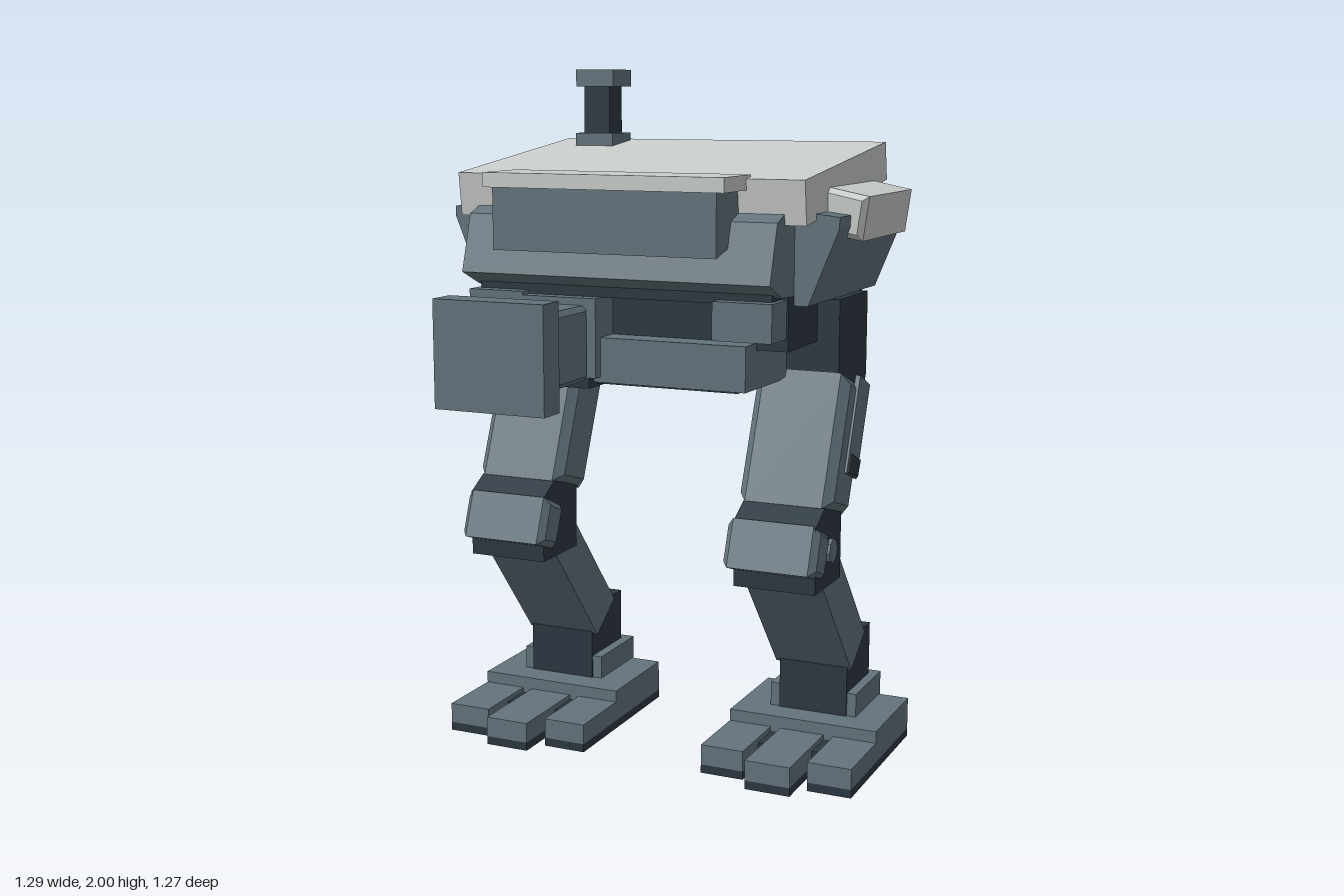
import * as THREE from 'three';

export function createModel() {
  const model = new THREE.Group();
  model.name = 'walker';
  const mat = (name, color) => Object.assign(new THREE.MeshStandardMaterial({ color }), { name });
  const light = mat('pale armour', 0xc9cecb);
  const slate = mat('slate armour', 0x64747d);
  const dark = mat('dark frame', 0x2d3841);

  const add = (parent, name, geo, material) => {
    const m = new THREE.Mesh(geo, material);
    m.name = name;
    parent.add(m);
    return m;
  };
  // Box given by its limits on each axis
  const box = (parent, name, material, x0, x1, y0, y1, z0, z1) => {
    const g = new THREE.BoxGeometry(x1 - x0, y1 - y0, z1 - z0);
    g.translate((x0 + x1) / 2, (y0 + y1) / 2, (z0 + z1) / 2);
    return add(parent, name, g, material);
  };
  const extrude = (pts, depth, bevel) => {
    const g = new THREE.ExtrudeGeometry(new THREE.Shape(pts.map(p => new THREE.Vector2(...p))), {
      depth: depth - 2 * bevel, bevelEnabled: bevel > 0, bevelSegments: 1,
      bevelSize: bevel, bevelThickness: bevel, bevelOffset: -bevel,
    });
    return g.translate(0, 0, bevel);
  };
  // Side profile of [z, y] points, extruded across x
  const across = (parent, name, material, x0, x1, pts, bevel = 0) =>
    add(parent, name, extrude(pts, x1 - x0, bevel).rotateY(-Math.PI / 2).translate(x1, 0, 0), material);
  // Front profile of [x, y] points, extruded along z
  const along = (parent, name, material, z0, z1, pts, bevel = 0) =>
    add(parent, name, extrude(pts, z1 - z0, bevel).translate(0, 0, z0), material);

  // Hull
  const hull = new THREE.Group();
  hull.name = 'hull';
  model.add(hull);
  across(hull, 'roof', light, -0.52, 0.52, [[0.25, 1.71], [-0.43, 1.79], [-0.45, 1.68], [0.235, 1.59]]);
  across(hull, 'upperHull', slate, -0.46, 0.46,
    [[0.235, 1.62], [0.29, 1.6], [0.34, 1.44], [0.25, 1.4], [-0.42, 1.38], [-0.42, 1.69]]);
  box(hull, 'lowerHull', dark, -0.46, 0.46, 1.25, 1.42, -0.42, 0.2);
  box(hull, 'chinBand', dark, -0.44, 0.44, 1.38, 1.43, 0.1, 0.27);
  across(hull, 'belly', slate, -0.37, 0.37, [[0.28, 1.27], [0.28, 1.145], [0.02, 1.14], [-0.39, 1.2], [-0.38, 1.27]]);
  across(hull, 'bellyPlate', dark, -0.34, 0.34, [[0.26, 1.145], [0.26, 1.138], [0.02, 1.132], [-0.37, 1.19], [-0.37, 1.2]]);

  // Nose with brow
  across(hull, 'nose', slate, -0.33, 0.33, [[0.2, 1.69], [0.39, 1.69], [0.39, 1.51], [0.27, 1.54]]);
  box(hull, 'brow', light, -0.355, 0.355, 1.68, 1.72, 0.215, 0.4);

  // Rear plates and engine box
  across(hull, 'rearPlate', slate, -0.415, 0.415, [[-0.41, 1.69], [-0.455, 1.68], [-0.55, 1.46], [-0.43, 1.4], [-0.4, 1.4]]);
  across(hull, 'engineBox', slate, -0.27, 0.27, [[-0.44, 1.68], [-0.605, 1.68], [-0.63, 1.65], [-0.63, 1.4], [-0.44, 1.4]]);
  for (const y of [1.47, 1.55]) box(hull, 'engineSlot', dark, -0.19, 0.19, y - 0.014, y + 0.014, -0.633, -0.629);

  // Periscope
  box(hull, 'periscopeBase', slate, -0.42, -0.295, 1.74, 1.81, -0.405, -0.28);
  box(hull, 'periscopePost', dark, -0.4, -0.315, 1.8, 1.96, -0.385, -0.3);
  box(hull, 'periscopeCap', slate, -0.42, -0.295, 1.95, 2, -0.41, -0.285);

  // Gun slung under the hull's right side
  const gun = new THREE.Group();
  gun.name = 'gun';
  model.add(gun);
  box(gun, 'gunMount', slate, -0.36, -0.06, 1.16, 1.38, 0.02, 0.31);
  box(gun, 'gunMountBase', dark, -0.34, -0.08, 1.13, 1.17, 0.02, 0.31);
  across(gun, 'gunBarrel', slate, -0.335, -0.085, [[0.3, 1.36], [0.56, 1.36], [0.56, 1.15], [0.3, 1.15]], 0.015);
  box(gun, 'gunMuzzle', slate, -0.375, -0.045, 1.105, 1.4, 0.55, 0.635);

  // Parts repeated on both sides
  for (const s of [1, -1]) {
    const side = new THREE.Group();
    side.name = s > 0 ? 'leftSide' : 'rightSide';
    model.add(side);
    const flip = pts => pts.map(([x, y]) => [s * x, y]);
    // x limits measured outward from the middle
    const lim = (a, b) => (s > 0 ? [a, b] : [-b, -a]);

    // Flank armour
    along(side, 'flankSkirt', slate, -0.42, 0.16, flip([[0.42, 1.63], [0.585, 1.61], [0.585, 1.58], [0.5, 1.37], [0.42, 1.37]]));
    along(side, 'shoulderPanel', light, -0.345, 0.07, flip([[0.48, 1.69], [0.632, 1.66], [0.615, 1.54], [0.48, 1.565]]), 0.015);
    box(side, 'chinBlock', slate, ...lim(0.285, 0.455), 1.285, 1.39, 0.15, 0.31);

    // Leg
    const leg = new THREE.Group();
    leg.name = 'leg';
    side.add(leg);
    across(leg, 'hip', dark, ...lim(0.3, 0.525),
      [[-0.03, 1.37], [-0.275, 1.37], [-0.275, 1.13], [-0.24, 1.06], [-0.2, 1.06], [-0.03, 1.16]]);
    across(leg, 'thigh', slate, ...lim(0.28, 0.557), [[-0.03, 1.165], [-0.2, 1.1], [-0.055, 0.755], [0.115, 0.81]], 0.025);
    across(leg, 'thighPlate', slate, ...lim(0.55, 0.564), [[-0.105, 1.15], [-0.195, 1.11], [-0.09, 0.855], [0, 0.89]]);
    across(leg, 'thighRecess', dark, ...lim(0.56, 0.567), [[-0.035, 0.94], [-0.115, 0.905], [-0.092, 0.86], [-0.008, 0.89]]);
    across(leg, 'kneeJoint', dark, ...lim(0.3, 0.54),
      [[0.18, 0.77], [0.11, 0.81], [-0.03, 0.77], [-0.03, 0.58], [0.18, 0.58]]);
    across(leg, 'kneeCap', slate, ...lim(0.28, 0.552), [[0.18, 0.775], [0.08, 0.73], [0.13, 0.61], [0.23, 0.645]], 0.018);
    const bolt = add(leg, 'kneeBolt', new THREE.CylinderGeometry(0.035, 0.035, 0.02, 8).toNonIndexed(), slate);
    bolt.geometry.computeVertexNormals();
    bolt.rotation.z = Math.PI / 2;
    bolt.position.set(s * 0.542, 0.68, 0.065);
    across(leg, 'shin', slate, ...lim(0.3, 0.535), [[0.11, 0.59], [-0.01, 0.67], [-0.285, 0.345], [-0.165, 0.26]]);
    across(leg, 'ankle', dark, ...lim(0.315, 0.525),
      [[-0.155, 0.12], [-0.155, 0.27], [-0.275, 0.35], [-0.365, 0.35], [-0.365, 0.12]]);
    box(leg, 'anklePlate', slate, ...lim(0.285, 0.553), 0.11, 0.19, -0.395, -0.16);

    // Foot with dark sole and three toes
    const foot = new THREE.Group();
    foot.name = 'foot';
    leg.add(foot);
    box(foot, 'heel', slate, ...lim(0.19, 0.645), 0.025, 0.12, -0.385, -0.07);
    box(foot, 'heelSole', dark, ...lim(0.19, 0.645), 0, 0.025, -0.385, -0.07);
    for (const [a, b, z] of [[0.19, 0.32, 0.15], [0.35, 0.485, 0.21], [0.515, 0.645, 0.15]]) {
      box(foot, 'toe', slate, ...lim(a, b), 0.025, 0.085, -0.08, z);
      box(foot, 'toeSole', dark, ...lim(a, b), 0, 0.025, -0.07, z);
    }
    box(foot, 'toeWeb', dark, ...lim(0.2, 0.635), 0.005, 0.07, -0.08, 0.03);
  }
  return model;
}
